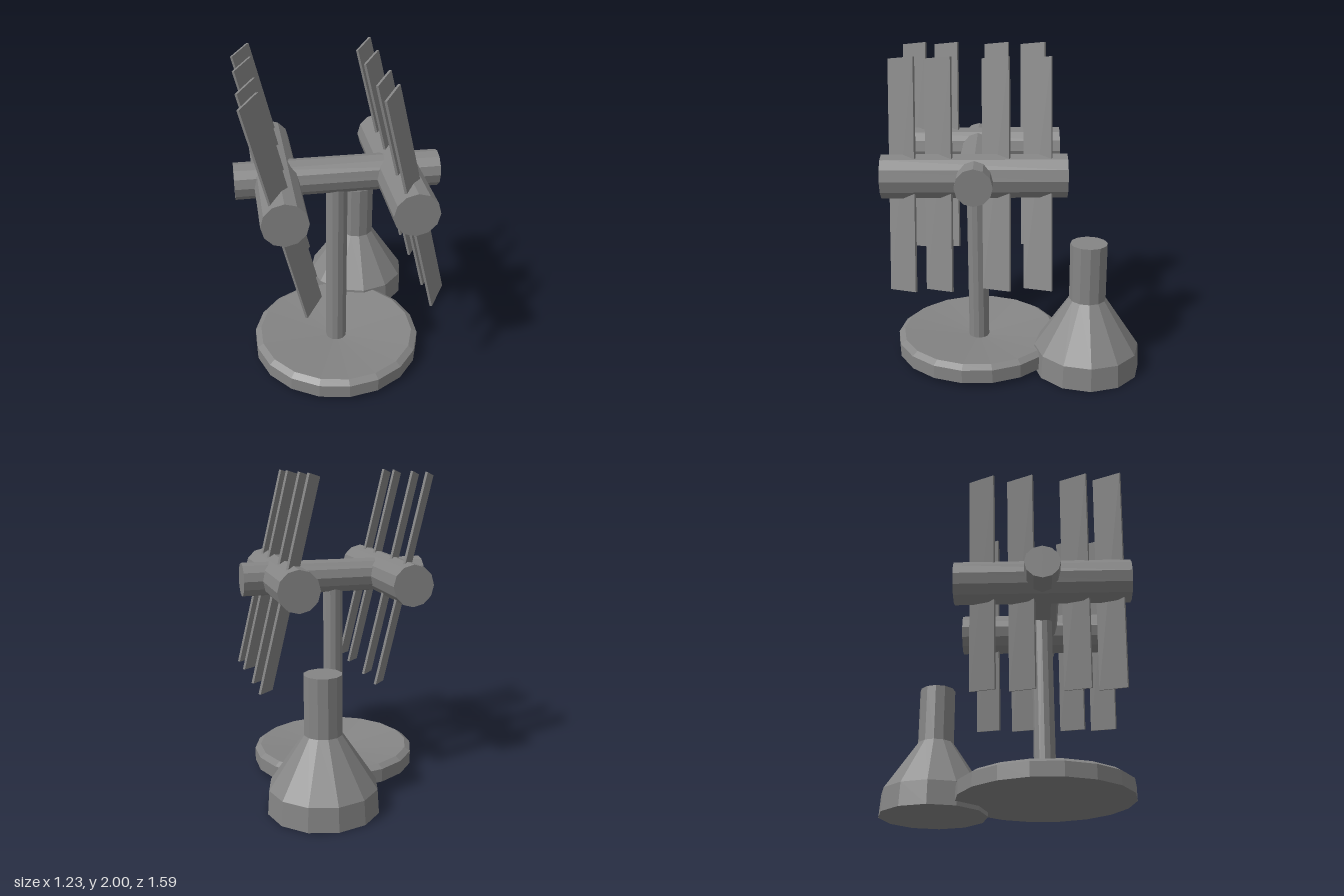
import * as THREE from 'three';

export function createModel() {
  const model = new THREE.Group();
  const material = new THREE.MeshStandardMaterial({ color: 0x858585, flatShading: true });

  const add = (name, geometry, x, y, z) => {
    const mesh = new THREE.Mesh(geometry, material);
    mesh.name = name;
    mesh.position.set(x, y, z);
    model.add(mesh);
    return mesh;
  };
  // Closed turned shape from [radius, height] pairs
  const turned = (profile, sides) =>
    new THREE.LatheGeometry(profile.map(([r, y]) => new THREE.Vector2(r, y)), sides);

  const axisY = 1.313;
  const standZ = 0.25;

  // Stand: bevelled round base with a shallow dished top, and pole
  add('base', turned([[0, 0.028], [0.543, 0.028], [0.543, 0.115], [0.505, 0.14], [0, 0.088]], 18), 0, 0, standZ);
  add('pole', new THREE.CylinderGeometry(0.067, 0.067, 1.2, 12), 0, 0.67, standZ);

  // Horizontal bar carrying both tubes
  add('crossbar', new THREE.CylinderGeometry(0.11, 0.11, 1.225, 12), 0, axisY, standZ)
    .rotation.z = Math.PI / 2;

  // Two long tubes, each pierced by four tilted slats
  const slatGeometry = new THREE.BoxGeometry(0.193, 1.364, 0.015);
  const slatZ = [-0.122, 0.122, 0.459, 0.672];
  for (const [side, tubeX, slatX] of [['right', -0.366, -0.363], ['left', 0.359, 0.38]]) {
    add(side + 'Tube', new THREE.CylinderGeometry(0.133, 0.133, 1.09, 12), tubeX, axisY, standZ)
      .rotation.x = Math.PI / 2;
    slatZ.forEach((z, i) => {
      const slat = add(side + 'Slat' + (i + 1), slatGeometry, slatX, 1.324, z);
      slat.rotation.set(0, 0.97, 0.238, 'ZYX');
    });
  }

  // Flask-shaped vessel behind the stand
  add('flask', turned([[0, 0], [0.345, 0], [0.335, 0.15], [0.117, 0.477], [0.117, 0.847], [0, 0.847]], 12), 0.26, 0, -0.45);

  return model;
}
